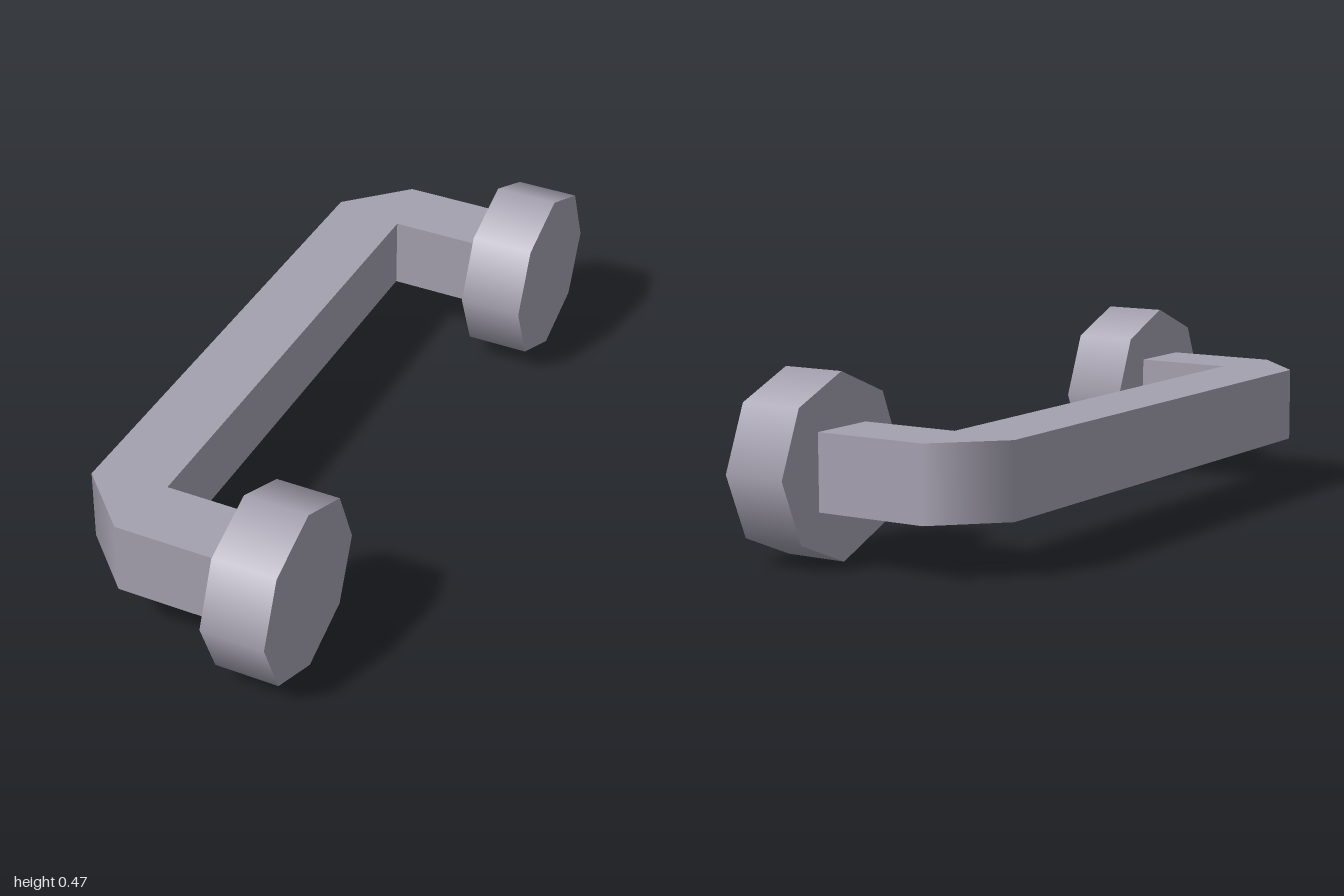
import * as THREE from 'three';

export function createModel() {
  const group = new THREE.Group();
  const metal = new THREE.MeshStandardMaterial({ color: 0xa5a1b0 });
  metal.name = 'greyMetal';

  // C-shaped square bar with chamfered outer corners, drawn in plan
  const plan = new THREE.Shape([
    [0.145, -0.86], [0.145, -0.67], [-0.12, -0.67], [-0.12, 0.67],
    [0.145, 0.67], [0.145, 0.86], [-0.16, 0.86], [-0.315, 0.705],
    [-0.315, -0.705], [-0.16, -0.86],
  ].map(([x, z]) => new THREE.Vector2(x, z)));
  const barGeometry = new THREE.ExtrudeGeometry(plan, { depth: 0.196, bevelEnabled: false });
  barGeometry.rotateX(-Math.PI / 2).translate(0, 0.138, 0);

  // Blend the chamfers smoothly into the flat faces beside them
  const position = barGeometry.attributes.position;
  const normal = barGeometry.attributes.normal;
  for (let i = 0; i < position.count; i++) {
    const slanted = Math.abs(normal.getX(i)) > 0.3 && Math.abs(normal.getZ(i)) > 0.3;
    if (!slanted) continue;
    const z = position.getZ(i);
    if (Math.abs(z) > 0.8) normal.setXYZ(i, 0, 0, Math.sign(z));
    else normal.setXYZ(i, -1, 0, 0);
  }
  const bar = new THREE.Mesh(barGeometry, metal);
  bar.name = 'handleBar';
  group.add(bar);

  // Octagonal mounting feet, one at each end of the bar
  const footGeometry = new THREE.CylinderGeometry(0.235, 0.235, 0.17, 8).rotateZ(-Math.PI / 2);
  for (const side of [1, -1]) {
    const foot = new THREE.Mesh(footGeometry, metal);
    foot.name = side > 0 ? 'frontFoot' : 'backFoot';
    foot.position.set(0.23, 0.235, side * 0.765);
    group.add(foot);
  }
  return group;
}
